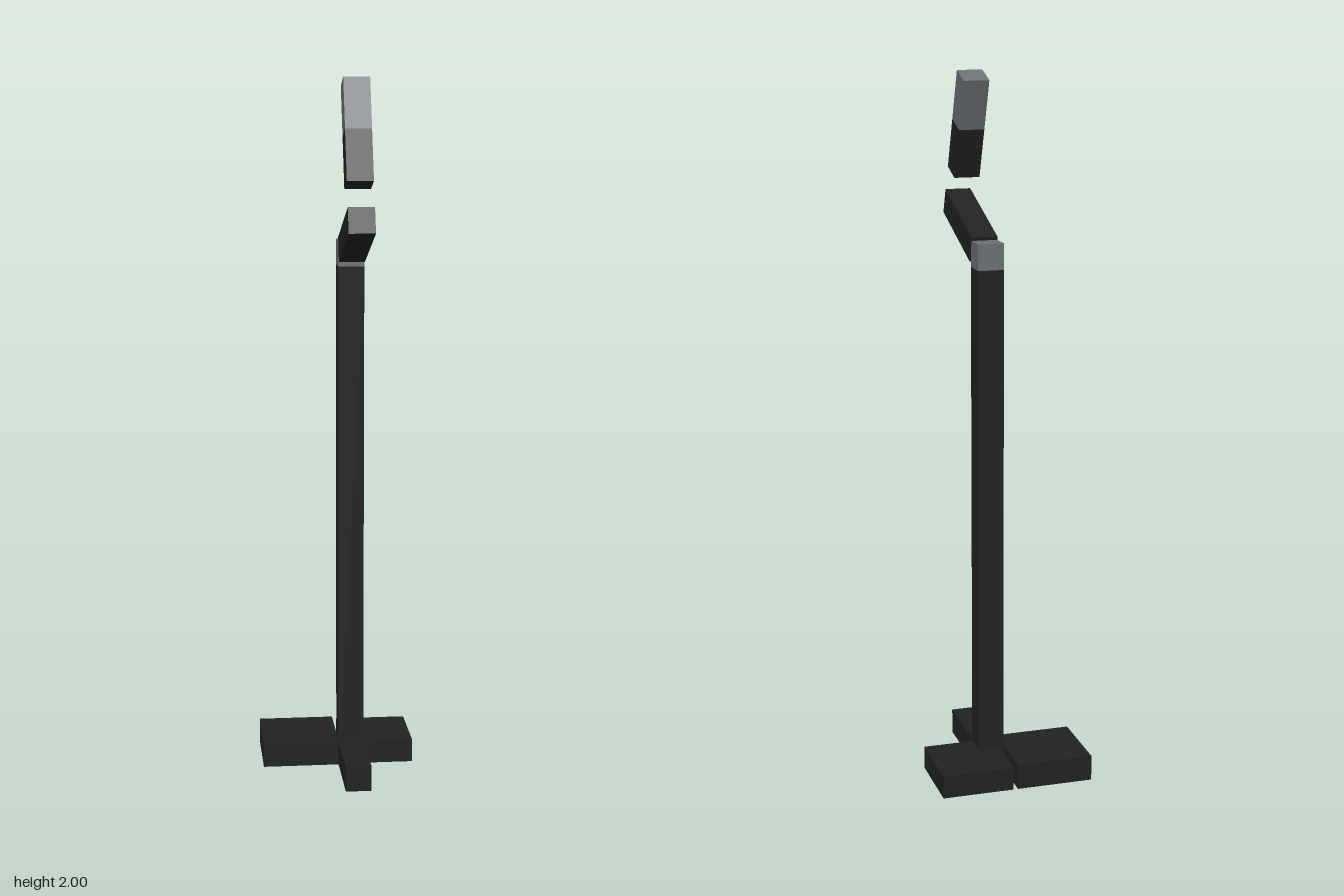
import * as THREE from 'three';

export function createModel() {
  const model = new THREE.Group();
  const black = new THREE.MeshStandardMaterial({ color: 0x222222 });
  black.name = 'matte black';
  const grey = new THREE.MeshStandardMaterial({ color: 0x6b7175 });
  grey.name = 'steel grey';

  const U = 0.0733; // bar thickness
  const midX = U / 2; // all bars share this centre line
  const tilt = THREE.MathUtils.degToRad(-20);

  function box(name, material, size, centre, parent = model) {
    const mesh = new THREE.Mesh(new THREE.BoxGeometry(...size), material);
    mesh.name = name;
    mesh.position.set(...centre);
    parent.add(mesh);
    return mesh;
  }

  // Base: two flat plates at the back and one bar foot at the front
  box('rightBasePlate', black, [0.221, U, 0.22], [-0.1105, U / 2, -0.144]);
  box('leftBasePlate', black, [0.207, 0.067, 0.213], [0.1165, 0.0335, -0.1475]);
  box('frontFoot', black, [U, U, 0.224], [midX, U / 2, 0.076]);

  // Upright pole with a grey joint on top
  box('pole', black, [U, 1.474, U], [midX, 0.737, -0.0715]);
  box('poleJoint', grey, [U, U, U], [midX, 1.474 + U / 2, -0.0715]);

  // Arm sloping up and forward from the joint
  box('arm', black, [U, U, 4 * U], [midX, 1.572, 0.103]).rotation.x = tilt;

  // Floating head: dark lower half, grey upper half
  const head = new THREE.Group();
  head.name = 'head';
  head.position.set(midX, 1.85, 0.1165);
  head.rotation.x = tilt;
  box('headLower', black, [U, 2 * U, U], [0, -U, 0], head);
  box('headUpper', grey, [U, 2 * U, U], [0, U, 0], head);
  model.add(head);

  return model;
}
